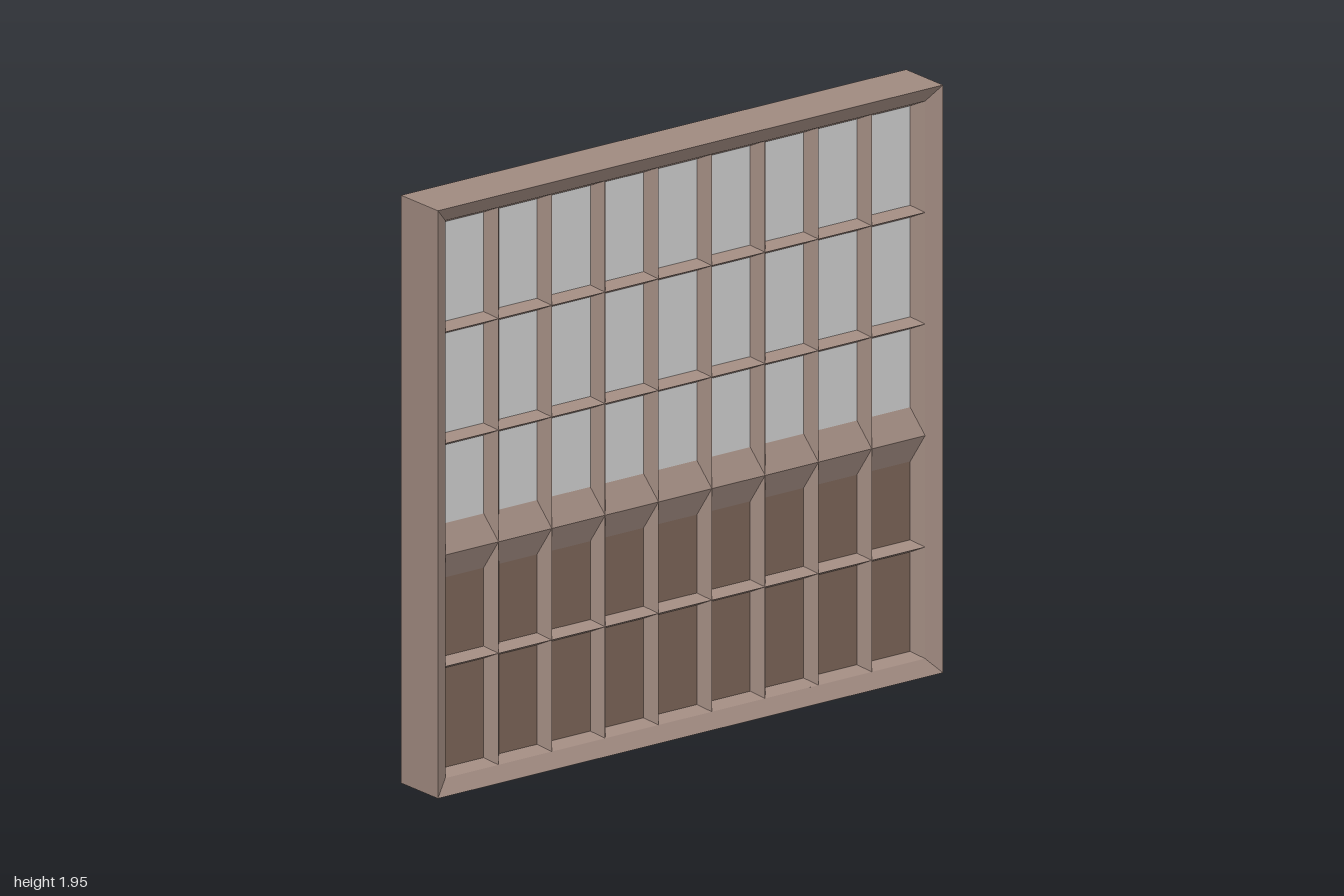
import * as THREE from 'three';
import { mergeGeometries } from 'three/addons/utils/BufferGeometryUtils.js';

const W = 2, H = 1.95, HALF_DEPTH = 0.095;
const BORDER = 0.05, RIDGE_Z = 0.068, PANE_Z = 0.03;
const COLS = 9, ROWS = 5, RAIL_ROW = 2; // rows below RAIL_ROW are solid panels

const material = (color) =>
  new THREE.MeshStandardMaterial({ color, flatShading: true, side: THREE.DoubleSide });

const rect = (l, r, b, t, z) => [[l, b, z], [r, b, z], [r, t, z], [l, t, z]];

// Joins successive rectangles with four flat sides each, leaving the ends open
function loft(...loops) {
  const pos = [];
  for (let k = 0; k + 1 < loops.length; k++) {
    const A = loops[k], B = loops[k + 1];
    for (let i = 0; i < 4; i++) {
      const j = (i + 1) % 4;
      pos.push(...A[i], ...A[j], ...B[j], ...A[i], ...B[j], ...B[i]);
    }
  }
  const g = new THREE.BufferGeometry();
  g.setAttribute('position', new THREE.Float32BufferAttribute(pos, 3));
  g.computeVertexNormals();
  return g;
}

export function createModel() {
  const model = new THREE.Group();
  model.name = 'latticeWindow';
  const wood = material(0xa08a80);
  const panelWood = material(0x796356);
  const glass = material(0xcccccc);
  const add = (name, geometry, mat) => {
    const mesh = new THREE.Mesh(geometry, mat);
    mesh.name = name;
    model.add(mesh);
  };

  // Outer frame: thin walls open at the back, with a bevelled front lip
  const x0 = -W / 2, x1 = W / 2;
  add('outerFrame', loft(
    rect(x0, x1, 0, H, -HALF_DEPTH),
    rect(x0, x1, 0, H, HALF_DEPTH),
    rect(x0 + BORDER, x1 - BORDER, BORDER, H - BORDER, RIDGE_Z)
  ), wood);

  // Lattice: each cell slopes from sharp ridges back to its pane
  const cw = (W - 2 * BORDER) / COLS, ch = (H - 2 * BORDER) / ROWS;
  const bars = [], panels = [], panes = [];
  for (let row = 0; row < ROWS; row++) {
    // The middle rail has much wider slopes than the other bars
    const low = row === RAIL_ROW ? 0.09 : 0.02;
    const high = row === RAIL_ROW - 1 ? 0.09 : 0.02;
    const b = BORDER + row * ch, t = b + ch;
    for (let col = 0; col < COLS; col++) {
      const l = x0 + BORDER + col * cw, r = l + cw;
      const pl = l + 0.03, pr = r - 0.03, pb = b + low, pt = t - high;
      bars.push(loft(rect(l, r, b, t, RIDGE_Z), rect(pl, pr, pb, pt, PANE_Z)));
      const pane = new THREE.PlaneGeometry(pr - pl, pt - pb)
        .translate((pl + pr) / 2, (pb + pt) / 2, PANE_Z);
      (row < RAIL_ROW ? panels : panes).push(pane);
    }
  }
  add('latticeBars', mergeGeometries(bars), wood);
  add('lowerPanels', mergeGeometries(panels), panelWood);
  add('glassPanes', mergeGeometries(panes), glass);
  return model;
}
